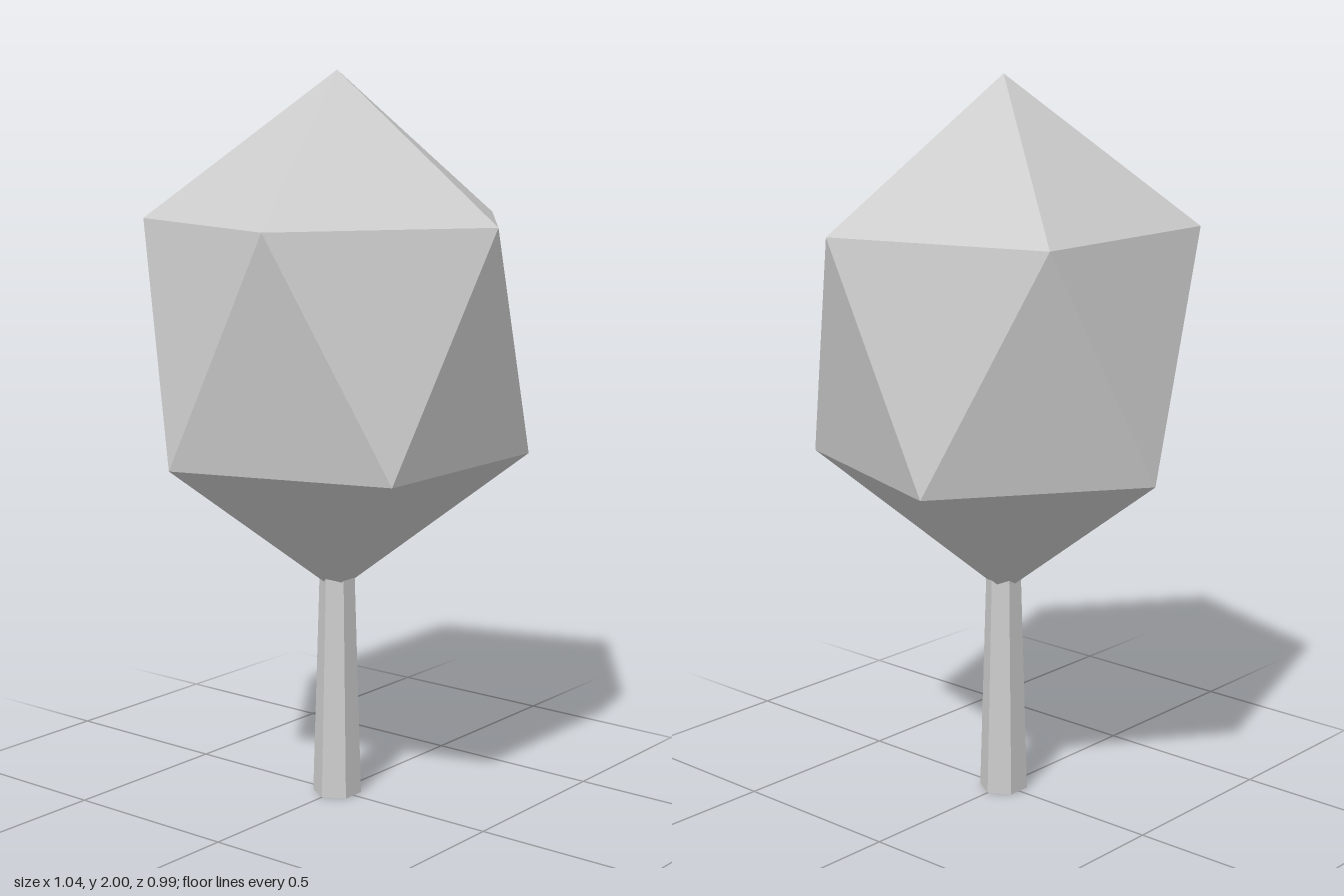
import * as THREE from 'three';

// Faceted crown: two staggered five-point rings between a top and a bottom tip
function crownGeometry() {
  const ring = (y, offset) => Array.from({ length: 5 }, (_, k) => {
    const a = ((k + offset) * 2 * Math.PI) / 5;
    return [0.522 * Math.cos(a), y, 0.522 * Math.sin(a)];
  });
  const top = [0, 2, 0], bottom = [0, 0.58, 0];
  const upper = ring(1.607, 0), lower = ring(0.973, 0.5);
  const points = [];
  for (let k = 0; k < 5; k++) {
    const n = (k + 1) % 5;
    points.push(
      top, upper[n], upper[k],
      upper[k], upper[n], lower[k],
      lower[k], upper[n], lower[n],
      lower[k], lower[n], bottom,
    );
  }
  const geometry = new THREE.BufferGeometry();
  geometry.setAttribute('position', new THREE.Float32BufferAttribute(points.flat(), 3));
  geometry.computeVertexNormals();
  return geometry;
}

export function createModel() {
  const model = new THREE.Group();
  model.name = 'tree';
  const grey = new THREE.MeshStandardMaterial({ color: 0xcccccc, flatShading: true });
  grey.name = 'light grey';

  const crown = new THREE.Mesh(crownGeometry(), grey);
  crown.name = 'crown';

  // Tapered six-sided trunk, its top sunk into the crown
  const trunk = new THREE.Mesh(new THREE.CylinderGeometry(0.049, 0.068, 0.63, 6), grey);
  trunk.position.y = 0.315;
  trunk.name = 'trunk';

  model.add(crown, trunk);
  return model;
}
